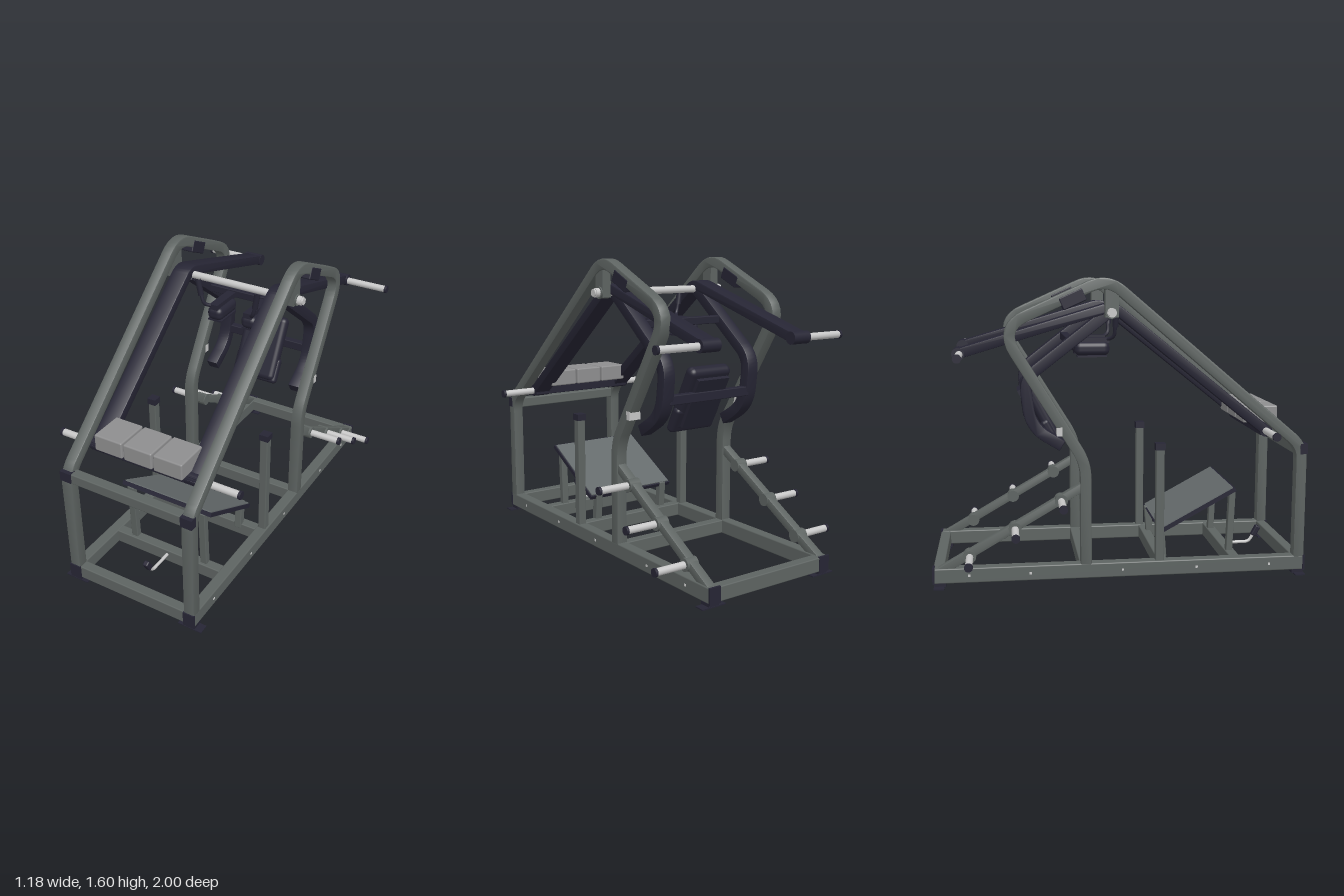
import * as THREE from 'three';
import { toCreasedNormals } from 'three/addons/utils/BufferGeometryUtils.js';
import { RoundedBoxGeometry } from 'three/addons/geometries/RoundedBoxGeometry.js';

const mat = (name, color) => {
  const m = new THREE.MeshStandardMaterial({ color });
  m.name = name;
  return m;
};

export function createModel() {
  const steel = mat('frame grey', 0x5d6361);
  const dark = mat('dark navy', 0x262534);
  const silver = mat('silver', 0xc6c6c6);
  const padGrey = mat('pad grey', 0x8e8e8f);
  const deckGrey = mat('deck grey', 0x646a6b);
  const model = new THREE.Group();

  const add = (name, geo, m, x = 0, y = 0, z = 0, rx = 0) => {
    const mesh = new THREE.Mesh(geo, m);
    mesh.name = name;
    mesh.position.set(x, y, z);
    mesh.rotation.x = rx;
    model.add(mesh);
    return mesh;
  };
  const box = (name, m, w, h, d, x, y, z, rx) => add(name, new THREE.BoxGeometry(w, h, d), m, x, y, z, rx);
  const soft = (name, m, w, h, d, r, x, y, z, rx) => add(name, new RoundedBoxGeometry(w, h, d, 3, r), m, x, y, z, rx);
  // round bar running along x from x0 to x1
  const rod = (name, m, r, x0, x1, y, z, sides = 20) =>
    add(name, new THREE.CylinderGeometry(r, r, Math.abs(x1 - x0), sides).rotateZ(Math.PI / 2), m, (x0 + x1) / 2, y, z);

  // Rectangular tube following a [z, y, bendRadius] path in the side plane
  const bentTube = (name, m, path, width, thick, x) => {
    const p = path.map(([z, y]) => new THREE.Vector2(z, y));
    const centre = [p[0]];
    for (let i = 1; i < p.length - 1; i++) {
      const cut = path[i][2] || 0.05;
      const a = p[i].clone().add(p[i - 1].clone().sub(p[i]).setLength(cut));
      const b = p[i].clone().add(p[i + 1].clone().sub(p[i]).setLength(cut));
      centre.push(...new THREE.QuadraticBezierCurve(a, p[i], b).getPoints(8));
    }
    centre.push(p[p.length - 1]);
    const left = [], right = [];
    centre.forEach((c, i) => {
      const t = centre[Math.min(i + 1, centre.length - 1)].clone().sub(centre[Math.max(i - 1, 0)]).normalize();
      const n = new THREE.Vector2(-t.y, t.x).multiplyScalar(thick / 2);
      left.push(c.clone().add(n));
      right.unshift(c.clone().sub(n));
    });
    const b = 0.006;
    const geo = new THREE.ExtrudeGeometry(new THREE.Shape([...left, ...right]), {
      depth: width - 2 * b, bevelSize: b, bevelThickness: b, bevelOffset: -b, bevelSegments: 2,
    });
    geo.rotateY(-Math.PI / 2).translate(width / 2 - b, 0, 0);
    return add(name, toCreasedNormals(geo, 0.6), m, x, 0, 0);
  };

  // Weight peg with collar and end cap
  const peg = (s, x0, x1, y, z) => {
    rod('weightPeg', silver, 0.019, s * x0, s * (x1 - 0.014), y, z);
    rod('pegCap', dark, 0.022, s * (x1 - 0.014), s * x1, y, z);
  };

  for (const s of [-1, 1]) {
    const x = s * 0.36;
    // Base rail, feet and bolts
    soft('baseRail', steel, 0.062, 0.08, 1.985, 0.007, x, 0.06, 0);
    for (const e of [-1, 1]) {
      box('railEndCap', dark, 0.066, 0.084, 0.012, x, 0.06, e * 0.994);
      box('foot', dark, 0.06, 0.02, 0.06, x, 0.012, e * 0.96);
      box('footPlate', dark, 0.14, 0.006, 0.055, x, 0.003, e * 0.965);
    }
    for (const z of [0.8, 0.4, 0, -0.49, -0.81])
      box('railBolt', silver, 0.003, 0.012, 0.012, s * 0.392, 0.06, z);

    // Bent side frame
    bentTube('sideFrame', steel, [
      [0.965, 0.09], [0.965, 0.705, 0.07], [-0.08, 1.592, 0.1], [-0.63, 1.345, 0.15], [-0.195, 0.64, 0.08], [-0.195, 0.09],
    ], 0.062, 0.058, x);
    soft('frameSleeve', dark, 0.068, 0.066, 0.13, 0.006, x, 1.488, -0.258, -0.42);
    box('crossbarEndCap', dark, 0.066, 0.056, 0.04, x, 0.69, 0.977);
    box('pivotBracket', steel, 0.05, 0.16, 0.07, x, 1.475, -0.057);
    rod('pivotHub', silver, 0.024, s * 0.33, s * 0.415, 1.42, -0.06);
    rod('pivotCollar', steel, 0.032, s * 0.335, s * 0.392, 1.42, -0.06);
    box('legPin', silver, 0.066, 0.045, 0.03, x, 0.81, -0.33);

    // Short stop post
    soft('stopPost', steel, 0.045, 0.62, 0.045, 0.005, x, 0.4, 0.2);
    box('stopPostCap', dark, 0.052, 0.036, 0.052, x, 0.717, 0.2);

    // Rear brace carrying the storage pegs
    bentTube('rearBrace', steel, [[-0.2, 0.52], [-0.96, 0.08]], 0.05, 0.045, x);
    for (const [z, y] of [[-0.325, 0.443], [-0.567, 0.3], [-0.805, 0.16]]) {
      rod('pegCollar', steel, 0.034, s * 0.33, s * 0.396, y, z);
      peg(s, 0.39, 0.575, y, z);
    }

    // Moving press arm
    bentTube('pressArm', dark, [[0.8, 0.77], [-0.045, 1.45, 0.05], [-0.85, 1.21]], 0.1, 0.052, s * 0.287);
    rod('armEnd', dark, 0.033, s * 0.235, s * 0.345, 1.212, -0.84);
    rod('armFrontEnd', dark, 0.034, s * 0.235, s * 0.335, 0.785, 0.782);
    peg(s, 0.335, 0.59, 1.21, -0.835);
    peg(s, 0.33, 0.54, 0.783, 0.78);

    // Hanging back-pad arm
    bentTube('backPadArm', dark, [[-0.06, 1.42], [-0.505, 1.075, 0.08], [-0.475, 0.82, 0.1], [-0.31, 0.72]], 0.07, 0.06, s * 0.275);

    // Shoulder pad, bracket and hand grip
    soft('shoulderPad', dark, 0.092, 0.075, 0.19, 0.03, s * 0.105, 1.217, -0.135);
    box('shoulderPadBase', dark, 0.085, 0.01, 0.16, s * 0.105, 1.177, -0.135);
    box('shoulderBracket', dark, 0.05, 0.03, 0.22, s * 0.105, 1.262, -0.15);
    const handle = new THREE.CatmullRomCurve3([
      [0.18, 1.42, -0.02], [0.165, 1.34, -0.015], [0.148, 1.285, -0.02], [0.115, 1.262, -0.06],
    ].map(([a, b, c]) => new THREE.Vector3(s * a, b, c)));
    add('handleTube', new THREE.TubeGeometry(handle, 16, 0.01, 10), dark);
    const grip = new THREE.LineCurve3(new THREE.Vector3(s * 0.182, 1.425, -0.01), new THREE.Vector3(s * 0.165, 1.335, -0.013));
    add('handGrip', new THREE.TubeGeometry(grip, 1, 0.016, 12), dark);

    // Footplate supports
    soft('deckFrontSupport', steel, 0.04, 0.36, 0.035, 0.004, s * 0.225, 0.265, 0.622, 0.04);
    soft('deckRearSupport', steel, 0.04, 0.17, 0.04, 0.004, s * 0.225, 0.16, 0.235, -0.08);
  }

  // Base and front cross members
  for (const z of [0.962, 0.62, 0.22, -0.2, -0.968])
    soft('baseCrossbar', steel, 0.67, 0.076, 0.056, 0.006, 0, 0.06, z);
  soft('frontCrossbar', steel, 0.67, 0.058, 0.056, 0.006, 0, 0.686, 0.962);

  // Inclined footplate: dark board with a grey tread
  const tilt = -Math.atan2(0.225, 0.415);
  box('footplateBoard', dark, 0.56, 0.022, 0.475, 0, 0.34, 0.428, tilt);
  box('footplateTread', deckGrey, 0.545, 0.006, 0.458, 0, 0.3525, 0.4215, tilt);

  // Pivot shaft and cross bars of the moving parts
  rod('pivotShaft', silver, 0.02, -0.425, 0.425, 1.42, -0.06);
  soft('shoulderCrossbar', dark, 0.52, 0.042, 0.042, 0.005, 0, 1.265, -0.262);
  soft('backPadCrossbar', dark, 0.52, 0.05, 0.042, 0.005, 0, 0.9, -0.492);
  soft('armFrontCrossbar', dark, 0.66, 0.052, 0.06, 0.005, 0, 0.785, 0.78);

  // Back pad
  soft('backPad', dark, 0.265, 0.38, 0.07, 0.03, 0, 0.882, -0.415, -0.48);
  soft('backPadLower', dark, 0.285, 0.15, 0.05, 0.02, 0, 0.765, -0.365, -0.5);
  box('backPadPlate', dark, 0.2, 0.3, 0.02, 0, 0.86, -0.462, -0.48);

  // Three grey pads on the front bar
  for (const i of [-1, 0, 1])
    soft('frontPad', padGrey, 0.166, 0.092, 0.19, 0.008, i * 0.176, 0.862, 0.77);

  // Small pedal lever
  const lever = new THREE.CatmullRomCurve3([
    [0, 0.07, 0.63], [0, 0.07, 0.74], [0, 0.075, 0.79], [0, 0.14, 0.832],
  ].map((v) => new THREE.Vector3(...v)));
  add('pedalLever', new THREE.TubeGeometry(lever, 16, 0.009, 10), silver);
  soft('pedal', dark, 0.032, 0.065, 0.032, 0.008, 0, 0.135, 0.832, 0.5);

  return model;
}
